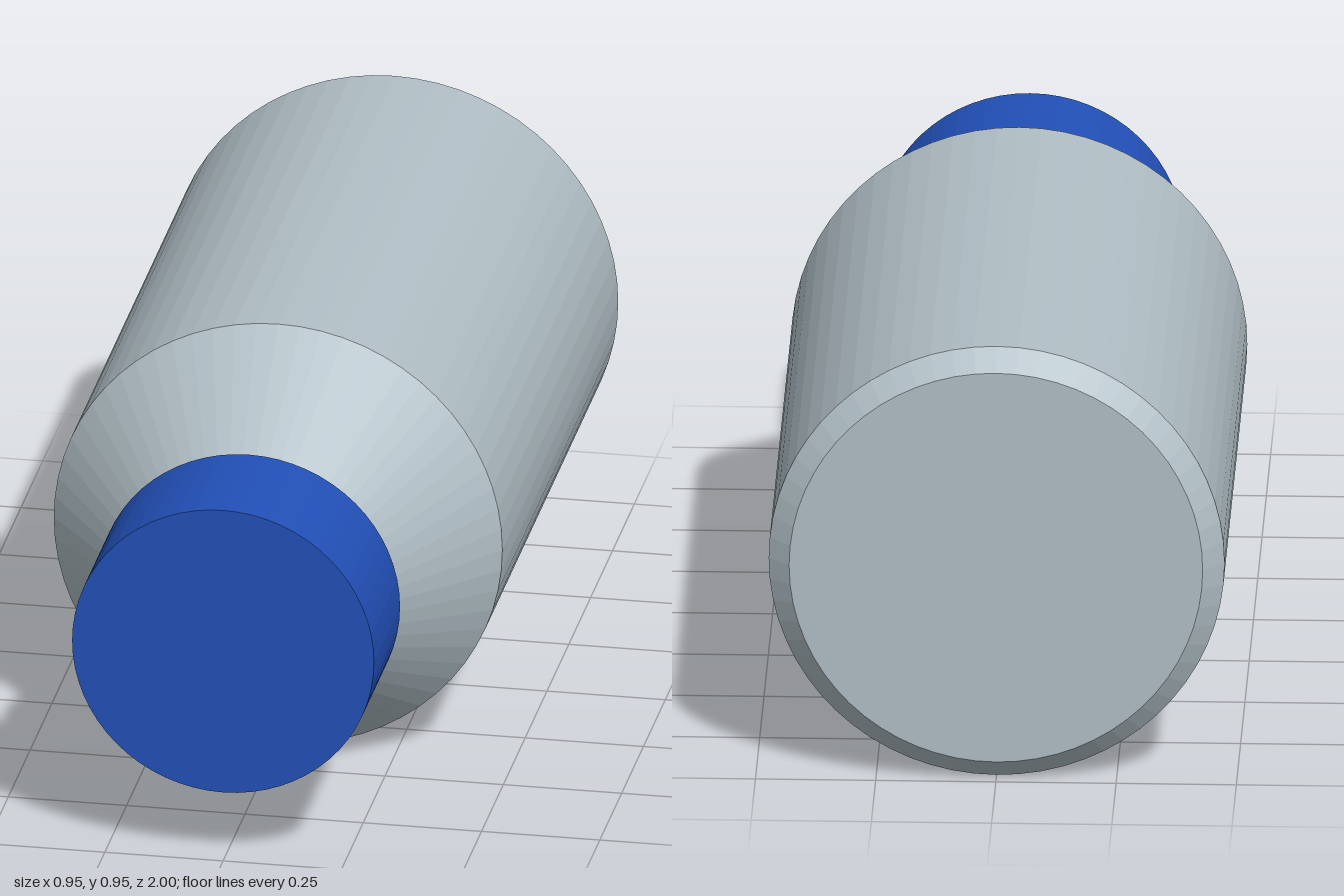
import * as THREE from 'three';

const SEGMENTS = 64;
const AXIS_Y = 0.475;

// Turned part lying along z, from [radius, z] pairs running back to front
function turned(name, profile, material) {
  const points = profile.map(([r, z]) => new THREE.Vector2(r, z));
  const geometry = new THREE.LatheGeometry(points, SEGMENTS);
  geometry.rotateX(Math.PI / 2);
  const mesh = new THREE.Mesh(geometry, material);
  mesh.name = name;
  mesh.position.y = AXIS_Y;
  return mesh;
}

export function createModel() {
  const shell = new THREE.MeshStandardMaterial({ color: 0xb0bec5, flatShading: true });
  shell.name = 'pale grey';
  const blue = new THREE.MeshStandardMaterial({ color: 0x2250b8, flatShading: true });
  blue.name = 'blue';

  const group = new THREE.Group();
  group.name = 'bottle';

  // Body with chamfered base, sloping shoulder, collar and narrow neck
  group.add(turned('body', [
    [0, -1], [0.43, -1], [0.474, -0.957], [0.474, 0.37],
    [0.275, 0.63], [0.275, 0.695], [0.25, 0.695], [0.25, 0.72], [0, 0.72],
  ], shell));

  // Solid screw cap
  group.add(turned('cap', [
    [0, 0.702], [0.319, 0.702], [0.319, 1], [0, 1],
  ], blue));

  return group;
}
